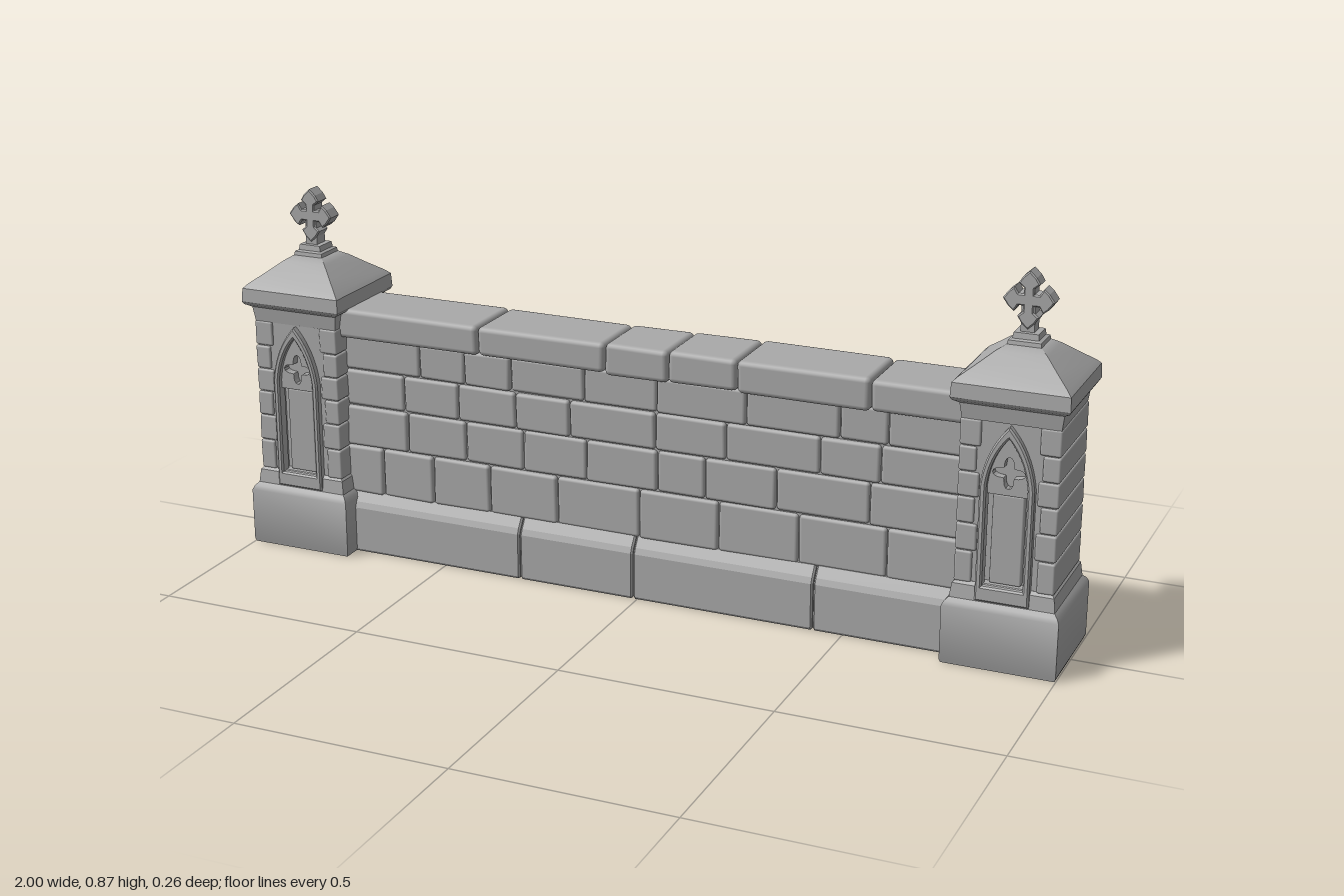
import * as THREE from 'three';
import { toCreasedNormals } from 'three/addons/utils/BufferGeometryUtils.js';
import { RoundedBoxGeometry } from 'three/addons/geometries/RoundedBoxGeometry.js';

const stone = new THREE.MeshStandardMaterial({ color: 0xa9a9a9 });
stone.name = 'grey stone';

// small seeded random for uneven stonework
let seed = 7;
const rand = (a, b) => {
  seed = (seed * 16807) % 2147483647;
  return a + (b - a) * (seed / 2147483647);
};

function add(parent, name, geometry, x = 0, y = 0, z = 0) {
  const mesh = new THREE.Mesh(geometry, stone);
  mesh.name = name;
  mesh.position.set(x, y, z);
  parent.add(mesh);
  return mesh;
}

// rounded block given by its limits, with a slightly uneven surface
function block(parent, name, x0, x1, y0, y1, halfZ, radius = 0.01, bump = 0.002) {
  const g = new RoundedBoxGeometry(x1 - x0, y1 - y0, halfZ * 2, 2, radius);
  const p = g.attributes.position;
  const ph = rand(0, 6);
  for (let i = 0; i < p.count; i++) {
    const x = p.getX(i), y = p.getY(i), z = p.getZ(i);
    p.setZ(i, z + Math.sign(z) * bump * Math.sin(x * 30 + y * 45 + ph));
  }
  return add(parent, name, g, (x0 + x1) / 2, (y0 + y1) / 2, 0);
}

// square tapered body from [half width, height] pairs
function squareLathe(profile) {
  const pts = profile.map(([r, y]) => new THREE.Vector2(r * Math.SQRT2, y));
  const g = new THREE.LatheGeometry(pts, 4, Math.PI / 4);
  return toCreasedNormals(g, 0.55);
}

function extrude(shape, depth, bevel = 0) {
  return new THREE.ExtrudeGeometry(shape, {
    depth: depth - 2 * bevel, curveSegments: 10, bevelEnabled: bevel > 0,
    bevelSize: bevel, bevelOffset: -bevel, bevelThickness: bevel, bevelSegments: 1,
  }).translate(0, 0, bevel);
}

// pointed arch outline
function lancet(hw, y0, spring, top, Type = THREE.Shape) {
  const s = new Type();
  const k = spring + (top - spring) * 0.6;
  s.moveTo(-hw, y0);
  s.lineTo(hw, y0);
  s.lineTo(hw, spring);
  s.quadraticCurveTo(hw * 0.85, k, 0, top);
  s.quadraticCurveTo(-hw * 0.85, k, -hw, spring);
  s.closePath();
  return s;
}

function quatrefoil(cy, scale) {
  const pts = [];
  for (let i = 0; i < 40; i++) {
    const a = (i / 40) * Math.PI * 2;
    const r = scale * (0.026 + 0.01 * Math.cos(4 * a));
    pts.push(new THREE.Vector2(r * Math.cos(a), cy + r * Math.sin(a)));
  }
  return new THREE.Path(pts);
}

// cross with flared, pointed arms
function crossShape() {
  const arm = [[0.013, 0.013], [0.013, 0.026], [0.027, 0.036], [0.017, 0.05],
    [0, 0.064], [-0.017, 0.05], [-0.027, 0.036], [-0.013, 0.026]];
  const pts = [];
  for (let q = 0; q < 4; q++) {
    const a = q * Math.PI / 2, c = Math.cos(a), s = Math.sin(a);
    for (const [x, y] of arm) pts.push(new THREE.Vector2(0.88 * (x * c - y * s), x * s + y * c));
  }
  return new THREE.Shape(pts);
}

function niche() {
  const g = new THREE.Group();
  g.name = 'archedNiche';
  // raised surround
  const frame = lancet(0.06, 0.155, 0.42, 0.557);
  frame.holes.push(lancet(0.045, 0.19, 0.42, 0.53, THREE.Path));
  add(g, 'archSurround', extrude(frame, 0.03, 0.004), 0, 0, 0.092);
  // pierced tracery in the head of the arch
  const head = lancet(0.046, 0.4, 0.42, 0.532);
  head.holes.push(quatrefoil(0.45, 1));
  add(g, 'tracery', extrude(head, 0.02), 0, 0, 0.088);
  // flat panel below the tracery
  add(g, 'nichePanel', new RoundedBoxGeometry(0.07, 0.205, 0.02, 1, 0.004), 0, 0.295, 0.09);
  return g;
}

function pillar(side) {
  const g = new THREE.Group();
  g.name = side > 0 ? 'leftPillar' : 'rightPillar';

  add(g, 'pillarPlinth', squareLathe([[0, 0], [0.127, 0], [0.13, 0.008], [0.13, 0.135],
    [0.125, 0.145], [0.117, 0.153], [0.113, 0.185], [0.106, 0.192], [0, 0.192]]));

  // shaft with a recess through its front and back
  const outline = new THREE.Shape([[-0.105, 0.15], [0.105, 0.15], [0.105, 0.6], [-0.105, 0.6]]
    .map(([x, y]) => new THREE.Vector2(x, y)));
  outline.holes.push(lancet(0.05, 0.185, 0.42, 0.54, THREE.Path));
  add(g, 'shaft', extrude(outline, 0.21), 0, 0, -0.105);
  add(g, 'shaftCore', new THREE.BoxGeometry(0.15, 0.4, 0.17), 0, 0.38, 0);

  // corner stones in courses
  const courses = [0.188, 0.262, 0.325, 0.385, 0.442, 0.5, 0.562];
  for (let i = 0; i < courses.length - 1; i++) {
    for (const s of [-1, 1]) {
      const inner = i % 2 ? 0.064 : 0.072;
      const x0 = s > 0 ? inner : -0.111, x1 = s > 0 ? 0.111 : -inner;
      block(g, 'cornerStone', x0, x1, courses[i] + 0.001, courses[i + 1] - 0.001, 0.11, 0.005, 0.001);
    }
  }

  const front = niche();
  const back = niche();
  back.rotation.y = Math.PI;
  g.add(front, back);

  // sloping cap with neck moulding and stepped foot for the cross
  add(g, 'cap', squareLathe([[0, 0.56], [0.108, 0.56], [0.113, 0.595], [0.126, 0.603],
    [0.13, 0.61], [0.128, 0.642], [0.118, 0.652], [0.085, 0.677], [0.056, 0.7],
    [0.038, 0.711], [0, 0.711]]));
  add(g, 'crossFoot', squareLathe([[0, 0.705], [0.038, 0.708], [0.036, 0.72], [0.029, 0.723],
    [0.027, 0.736], [0, 0.738]]));
  add(g, 'crossStem', new THREE.BoxGeometry(0.03, 0.07, 0.036), 0, 0.76, 0);
  add(g, 'cross', extrude(crossShape(), 0.042, 0.003), 0, 0.806, -0.021);

  g.position.x = side * 0.87;
  return g;
}

function wall() {
  const g = new THREE.Group();
  g.name = 'wall';
  add(g, 'wallCore', new THREE.BoxGeometry(1.54, 0.58, 0.112), 0, 0.295, 0);

  // plinth blocks with a sloping top
  const profile = new THREE.Shape([[-0.08, 0], [0.08, 0], [0.084, 0.006], [0.084, 0.112],
    [0.078, 0.126], [0.062, 0.15], [-0.062, 0.15], [-0.078, 0.126], [-0.084, 0.112], [-0.084, 0.006]]
    .map(([z, y]) => new THREE.Vector2(z, y)));
  const joints = [-0.78, -0.3, -0.01, 0.43, 0.78];
  for (let i = 0; i < 4; i++) {
    const geo = extrude(profile, joints[i + 1] - joints[i] - 0.002, 0.004).rotateY(Math.PI / 2);
    add(g, 'plinthBlock', geo, joints[i] + 0.001);
  }

  // coursed stones running through the wall
  const rows = [0.145, 0.265, 0.365, 0.455, 0.54];
  for (let r = 0; r < 4; r++) {
    let x = -0.78;
    while (x < 0.77) {
      let next = x + rand(0.11, 0.23);
      if (next > 0.68) next = 0.78;
      block(g, 'wallStone', x + 0.001, next - 0.001, rows[r] + 0.001, rows[r + 1] - 0.001,
        rand(0.062, 0.068), 0.008);
      x = next;
    }
  }

  // coping slabs
  const slabs = [-0.78, -0.4, -0.08, 0.075, 0.24, 0.55, 0.78];
  for (let i = 0; i < slabs.length - 1; i++) {
    block(g, 'copingStone', slabs[i] + 0.001, slabs[i + 1] - 0.001,
      0.536 + rand(-0.003, 0.003), 0.61 + rand(-0.003, 0.001), rand(0.083, 0.087), 0.012);
  }
  return g;
}

export function createModel() {
  const model = new THREE.Group();
  model.name = 'stoneWall';
  model.add(wall(), pillar(-1), pillar(1));
  return model;
}
